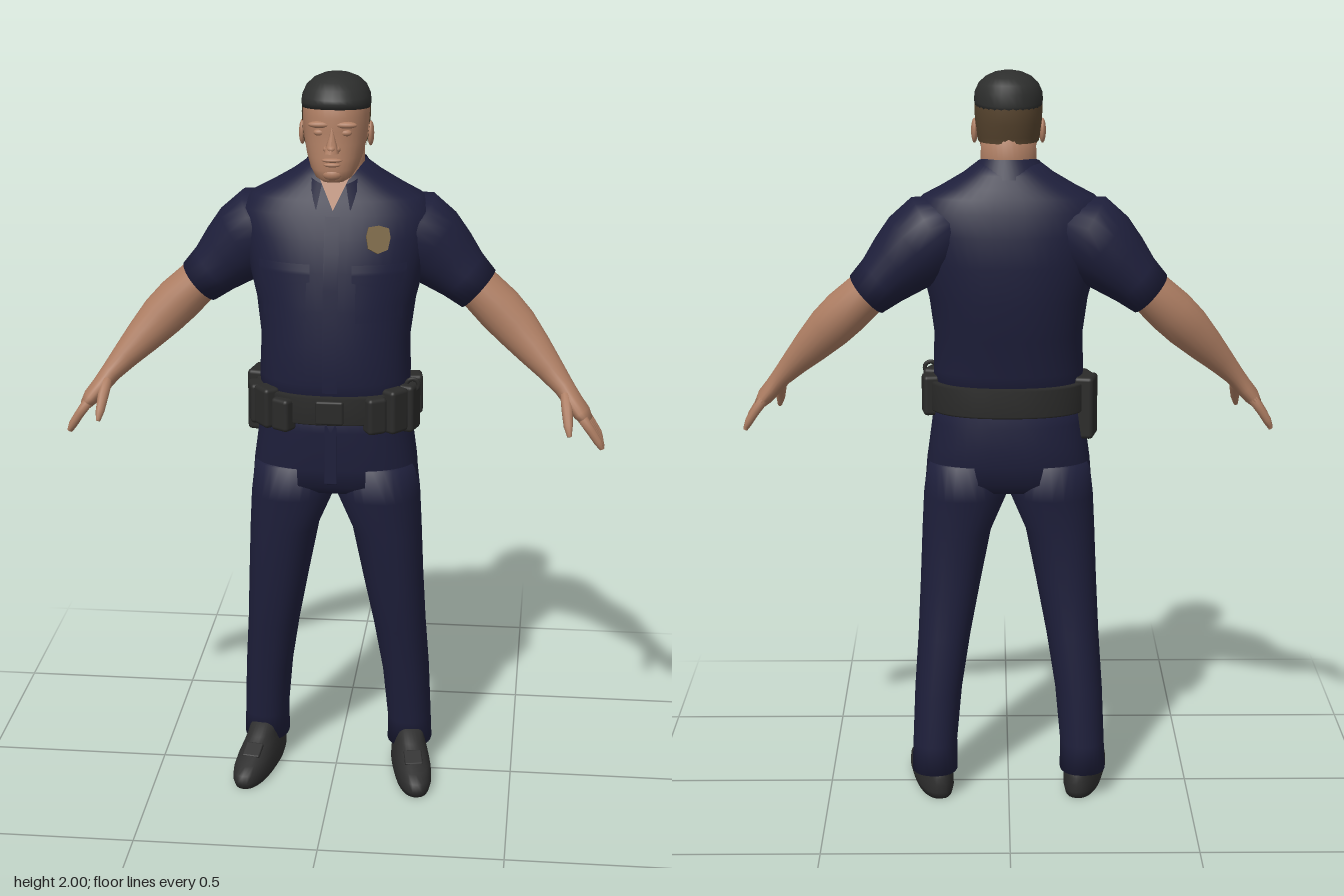
import * as THREE from 'three';
import { RoundedBoxGeometry } from 'three/addons/geometries/RoundedBoxGeometry.js';

const mat = (name, color) => new THREE.MeshStandardMaterial({ name, color, side: THREE.DoubleSide });
const V = (x, y, z) => new THREE.Vector3(x, y, z);
const spow = (v, e) => Math.sign(v) * Math.pow(Math.abs(v), e);

// Skin over a list of rings; closed rings get end caps
function skinRings(rings, closed = true) {
  const n = rings[0].length, pos = [], idx = [];
  rings.forEach(r => r.forEach(p => pos.push(p.x, p.y, p.z)));
  const last = closed ? n : n - 1;
  for (let i = 0; i < rings.length - 1; i++) for (let j = 0; j < last; j++) {
    const k = (j + 1) % n, a = i * n + j, b = i * n + k;
    idx.push(a, b, a + n, b, b + n, a + n);
  }
  if (closed) [0, rings.length - 1].forEach((i, end) => {
    const c = V(0, 0, 0);
    rings[i].forEach(p => c.addScaledVector(p, 1 / n));
    const m = pos.length / 3;
    pos.push(c.x, c.y, c.z);
    for (let j = 0; j < n; j++) {
      const a = i * n + j, b = i * n + (j + 1) % n;
      if (end) idx.push(m, a, b); else idx.push(m, b, a);
    }
  });
  const g = new THREE.BufferGeometry();
  g.setAttribute('position', new THREE.Float32BufferAttribute(pos, 3));
  g.setIndex(idx);
  g.computeVertexNormals();
  return g;
}

// Upright loft from [y, centreX, halfWidth, frontZ, backZ], listed upwards
function stack(rows, power = 2.3, from = 0, to = 360, n = 32) {
  const open = to - from < 360, e = 2 / power;
  return skinRings(rows.map(([y, cx, rx, f, b]) => Array.from({ length: open ? n + 1 : n }, (_, j) => {
    const a = (from + (to - from) * j / n) * Math.PI / 180;
    return V(cx + rx * spow(Math.sin(a), e), y, (f + b) / 2 + (f - b) / 2 * spow(Math.cos(a), e));
  })), !open);
}

// Limb loft through [x, y, z, thickness, depth]
function limb(pts, n = 16) {
  return skinRings(pts.map(([x, y, z, ru, rv], i) => {
    const p = pts[Math.max(i - 1, 0)], q = pts[Math.min(i + 1, pts.length - 1)];
    const w = V(q[0] - p[0], q[1] - p[1], q[2] - p[2]).normalize();
    const u = V(-w.y, w.x, 0).normalize(), v = w.clone().cross(u);
    return Array.from({ length: n }, (_, j) => {
      const a = j / n * Math.PI * 2;
      return V(x, y, z).addScaledVector(u, ru * Math.cos(a)).addScaledVector(v, rv * Math.sin(a));
    });
  }));
}

function move(g, rule) {
  const p = g.attributes.position;
  for (let i = 0; i < p.count; i++) {
    const v = V(0, 0, 0).fromBufferAttribute(p, i);
    rule(v);
    p.setXYZ(i, v.x, v.y, v.z);
  }
  g.computeVertexNormals();
  return g;
}

function mirrored(g) {
  const m = move(g.clone(), v => { v.x = -v.x; });
  const ix = m.index.array;
  for (let i = 0; i < ix.length; i += 3) [ix[i], ix[i + 1]] = [ix[i + 1], ix[i]];
  m.computeVertexNormals();
  return m;
}

const torso = [
  [1.1, 0, .2, .155, -.13], [1.2, 0, .203, .172, -.14], [1.3, 0, .2, .168, -.165], [1.4, 0, .213, .156, -.18],
  [1.5, 0, .238, .14, -.187], [1.58, 0, .255, .115, -.18], [1.64, 0, .262, .09, -.165], [1.675, 0, .228, .073, -.152],
  [1.7, 0, .18, .06, -.14], [1.735, 0, .12, .045, -.122], [1.765, 0, .08, .03, -.1]];

// Front of the shirt at x, y
function chestZ(x, y) {
  let i = 0;
  while (i < torso.length - 2 && torso[i + 1][0] < y) i++;
  const t = (y - torso[i][0]) / (torso[i + 1][0] - torso[i][0]);
  const [rx, f, b] = [2, 3, 4].map(k => torso[i][k] + (torso[i + 1][k] - torso[i][k]) * t);
  return (f + b) / 2 + (f - b) / 2 * Math.pow(Math.max(0, 1 - Math.pow(Math.abs(x / rx), 2.3)), 1 / 2.3);
}

export function createModel() {
  const root = new THREE.Group();
  root.name = 'uniformedOfficer';
  const navy = mat('navyCloth', 0x1e1f3b), skin = mat('skin', 0xae7e63), hair = mat('darkHair', 0x2d2e2d);
  const fade = mat('shavedHair', 0x58452f), leather = mat('blackLeather', 0x2a2a29);
  const shoe = mat('shoeLeather', 0x2e2e2e), brass = mat('badgeBrass', 0x75603c);
  const add = (name, g, m) => {
    const mesh = new THREE.Mesh(g, m);
    mesh.name = name;
    root.add(mesh);
    return mesh;
  };
  const pair = (name, g, m) => { add(name + 'Left', g, m); add(name + 'Right', mirrored(g), m); };
  const ball = (x, y, z, rx, ry, rz) => new THREE.SphereGeometry(1, 16, 12).scale(rx, ry, rz).translate(x, y, z);

  // Shirt
  add('shirt', stack(torso, 2.3, 0, 360, 48), navy);
  pair('sleeve', limb([[.13, 1.6, -.05, .08, .1], [.2, 1.572, -.055, .115, .112], [.245, 1.535, -.06, .11, .105],
    [.29, 1.495, -.062, .094, .096], [.335, 1.452, -.062, .076, .086], [.378, 1.414, -.06, .066, .08]], 24), navy);
  const onChest = (x, y, w, h, off, dip = 0) => move(new THREE.PlaneGeometry(w, h, 8, 10).translate(x, y, 0), v => {
    if (v.y < y - h / 2 + .001) v.y -= dip * (1 - Math.abs(v.x - x) / (w / 2));
    v.z = chestZ(v.x, v.y) + off;
  });
  add('placket', onChest(0, 1.41, .04, .46, .005), navy);
  pair('pocket', onChest(.125, 1.435, .12, .13, .004), navy);
  pair('pocketFlap', onChest(.125, 1.5, .14, .045, .011, .015), navy);

  // Collar, dropping towards the open front
  add('collar', move(stack([[1.725, 0, .118, .09, -.128], [1.775, 0, .084, .066, -.104]], 2, 22, 338, 40), v => {
    v.y -= .075 * Math.pow(THREE.MathUtils.clamp((v.z + .08) / .17, 0, 1), 1.5);
  }), navy);
  const vee = new THREE.Shape([[-.045, 1.745], [0, 1.655], [.045, 1.745]].map(p => new THREE.Vector2(...p)));
  add('throat', move(new THREE.ShapeGeometry(vee), v => { v.z = chestZ(v.x, v.y) + .009; }), skin);

  // Badge
  const shield = new THREE.Shape([[0, -.038], [.026, -.026], [.032, .006], [.027, .03], [0, .036], [-.027, .03], [-.032, .006],
    [-.026, -.026]].map(p => new THREE.Vector2(...p)));
  const badge = add('badge', new THREE.ExtrudeGeometry(shield, { depth: .007, bevelEnabled: false }), brass);
  badge.position.set(.12, 1.585, chestZ(.12, 1.585) + .004);
  badge.rotation.set(-.35, .25, 0);

  // Trousers
  add('trouserSeat', stack([[.87, 0, .2, .1, -.1], [.9, 0, .226, .136, -.13], [.95, 0, .222, .143, -.141],
    [1.0, 0, .215, .147, -.146], [1.06, 0, .207, .151, -.142], [1.13, 0, .2, .152, -.134]], 2.5, 0, 360, 40), navy);
  pair('trouserLeg', stack([[.07, .206, .063, .012, -.145], [.15, .205, .061, .025, -.141], [.3, .195, .065, .045, -.134],
    [.45, .178, .072, .072, -.121], [.6, .16, .083, .098, -.109], [.75, .142, .095, .115, -.113],
    [.85, .118, .114, .127, -.122], [.95, .112, .108, .138, -.136]], 2.3, 0, 360, 28), navy);
  add('flyFlap', new RoundedBoxGeometry(.035, .17, .008, 2, .003).translate(0, 1.0, .147), navy);

  // Shoes, turned slightly outwards
  pair('shoe', stack([[0, 0, .048, .172, -.15], [.018, 0, .053, .18, -.155], [.04, 0, .052, .175, -.155],
    [.058, 0, .049, .148, -.152], [.08, 0, .044, .085, -.145], [.1, 0, .04, .045, -.13], [.13, 0, .036, .01, -.11]], 2.4)
    .rotateY(.18).translate(.215, 0, .012), shoe);
  pair('shoeLace', new RoundedBoxGeometry(.05, .012, .05, 2, .004).rotateX(.45).rotateY(.18).translate(.228, .078, .095)
    .toNonIndexed().setIndex([...Array(new RoundedBoxGeometry(1, 1, 1, 2, .1).toNonIndexed().attributes.position.count).keys()]), shoe);

  // Belt with buckle and pouches
  add('belt', stack([[1.09, 0, .212, .172, -.15], [1.095, 0, .216, .178, -.154], [1.165, 0, .216, .18, -.154],
    [1.17, 0, .212, .175, -.15]], 2.4, 0, 360, 48), leather);
  add('buckle', new RoundedBoxGeometry(.075, .065, .016, 2, .006).translate(0, 1.128, .178), leather);
  const onBelt = (name, deg, w, h, d, y) => {
    const a = deg * Math.PI / 180, e = 2 / 2.4;
    const m = add(name, new RoundedBoxGeometry(w, h, d, 3, .011), leather);
    m.position.set(.212 * spow(Math.sin(a), e), y, .013 + .164 * spow(Math.cos(a), e));
    m.rotation.y = a;
  };
  [[30, .055, .1, 1.12], [50, .062, .12, 1.125], [72, .065, .13, 1.12], [98, .06, .11, 1.13],
    [-32, .055, .09, 1.115], [-52, .065, .11, 1.125], [-74, .065, .11, 1.12]]
    .forEach(([deg, w, h, y]) => onBelt('beltPouch', deg, w, h, .046, y));
  onBelt('holster', -102, .085, .17, .055, 1.1);
  add('radioKnob', new THREE.TorusGeometry(.016, .006, 8, 16).translate(.213, 1.182, .08), leather);

  // Arms and hands
  pair('arm', limb([[.33, 1.46, -.062, .055, .066], [.38, 1.415, -.06, .06, .068], [.435, 1.363, -.05, .064, .066],
    [.48, 1.318, -.038, .061, .058], [.53, 1.265, -.015, .05, .048], [.575, 1.217, .007, .038, .039],
    [.615, 1.172, .027, .028, .033], [.64, 1.14, .042, .025, .042], [.665, 1.11, .054, .023, .05],
    [.68, 1.09, .058, .016, .048]], 20), skin);
  for (let k = 0; k < 4; k++) {
    const z = .018 + .026 * k, s = [.0, .012, .01, 0][k], r = .0125;
    pair('finger', limb([[.668, 1.106, z, .014, .013], [.69, 1.075, z + .002, r, r],
      [.71 + s * .3, 1.045 - s * .8, z + .004, .011, .011], [.72 + s * .3, 1.026 - s, z + .005, .006, .006]], 10), skin);
  }
  pair('thumb', limb([[.622, 1.158, .055, .016, .018], [.626, 1.125, .088, .015, .015], [.63, 1.09, .115, .012, .012],
    [.634, 1.066, .128, .006, .006]], 10), skin);

  // Neck and head
  add('neck', stack([[1.66, 0, .09, .07, -.1], [1.72, 0, .077, .056, -.098], [1.77, 0, .074, .055, -.098],
    [1.84, 0, .072, .05, -.1]], 2), skin);
  add('head', stack([[1.732, 0, .03, .098, .035], [1.742, 0, .047, .11, .01], [1.765, 0, .062, .115, -.03],
    [1.795, 0, .073, .112, -.07], [1.83, 0, .081, .107, -.096], [1.865, 0, .085, .104, -.109], [1.9, 0, .087, .104, -.113],
    [1.94, 0, .085, .095, -.112], [1.968, 0, .07, .074, -.095], [1.985, 0, .045, .045, -.065]], 2.2), skin);
  add('hairCap', move(stack([[1.912, 0, .089, .1, -.116], [1.925, 0, .091, .104, -.118], [1.945, 0, .089, .1, -.117],
    [1.967, 0, .079, .086, -.106], [1.984, 0, .061, .064, -.085], [1.995, 0, .037, .037, -.056],
    [2, 0, .012, .005, -.025]], 2.2), v => { if (v.y < 1.93) v.y += v.z * .1; }), hair);
  add('shavedSides', stack([[1.815, 0, .08, .097, -.098], [1.83, 0, .084, .11, -.1], [1.865, 0, .088, .107, -.113],
    [1.9, 0, .09, .107, -.117], [1.925, 0, .089, .1, -.116]], 2.2, 84, 276), fade);
  pair('ear', ball(.09, 1.842, -.008, .009, .033, .02).rotateY(0), skin);

  // Face
  add('nose', move(new THREE.ConeGeometry(.02, .065, 8, 3).translate(0, 1.847, .108), v => {
    v.z += (1.88 - v.y) * .2;
  }), skin);
  add('noseTip', ball(0, 1.826, .122, .013, .01, .015), skin);
  pair('nostril', ball(.014, 1.823, .112, .009, .008, .01), skin);
  pair('brow', ball(.034, 1.883, .095, .03, .009, .012), skin);
  pair('eyelid', ball(.034, 1.862, .092, .016, .009, .01), skin);
  add('upperLip', ball(0, 1.793, .109, .027, .006, .01), skin);
  add('lowerLip', ball(0, 1.781, .11, .022, .006, .009), skin);
  add('chin', ball(0, 1.755, .1, .027, .017, .018), skin);
  return root;
}
